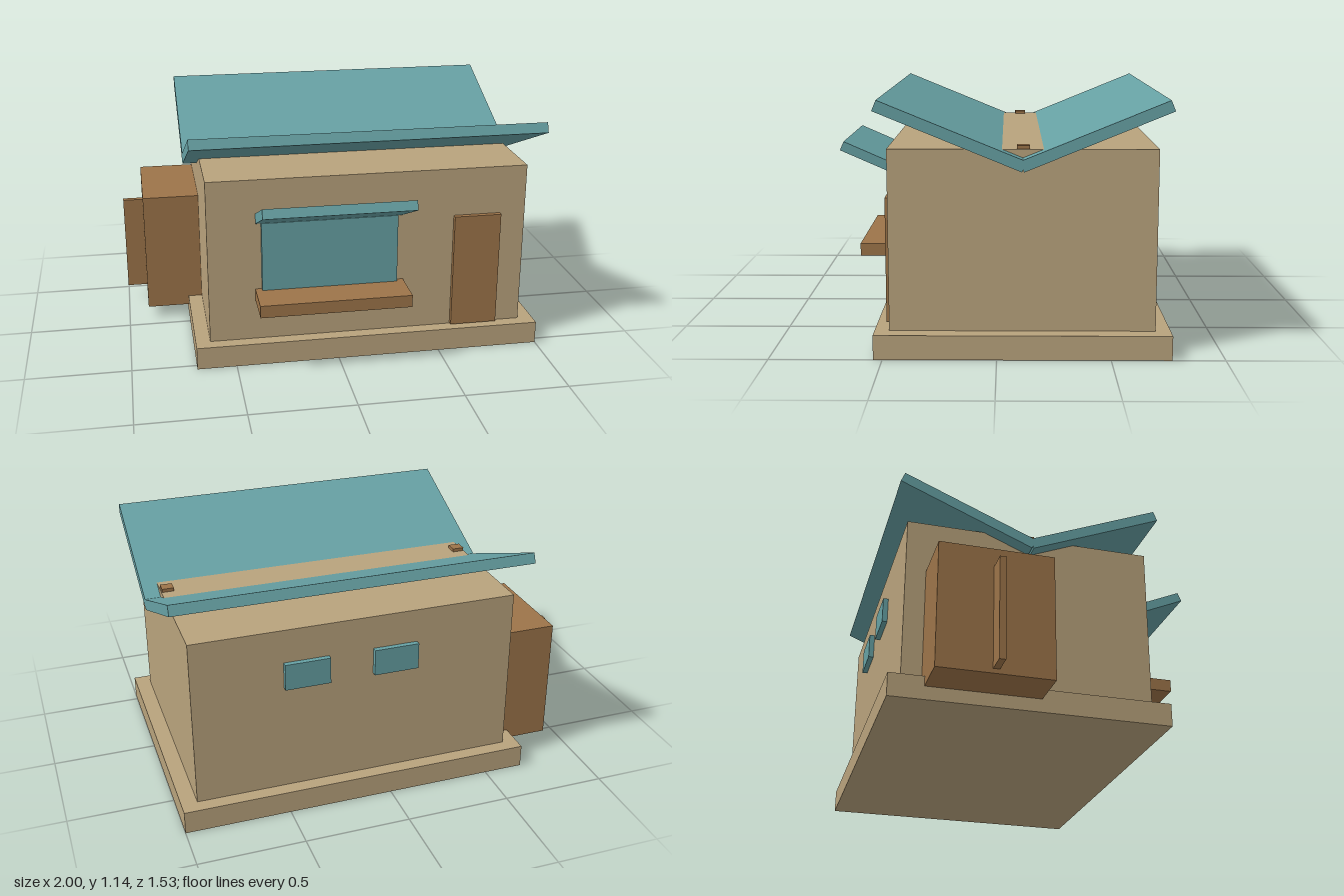
import * as THREE from 'three';

export function createModel() {
  const model = new THREE.Group();
  model.name = 'house';
  const paint = (color) => new THREE.MeshStandardMaterial({ color, flatShading: true });
  const tan = paint(0xb8a27c), teal = paint(0x66a0a3), brown = paint(0x9c7449);

  // Box given by its extents along each axis
  function block(name, mat, [x0, x1], [y0, y1], [z0, z1]) {
    const mesh = new THREE.Mesh(new THREE.BoxGeometry(x1 - x0, y1 - y0, z1 - z0), mat);
    mesh.position.set((x0 + x1) / 2, (y0 + y1) / 2, (z0 + z1) / 2);
    mesh.name = name;
    model.add(mesh);
    return mesh;
  }

  // Tilted slab whose centre line runs between two [z, y] points
  function slab(name, [x0, x1], [za, ya], [zb, yb], thickness) {
    const dz = zb - za, dy = yb - ya, half = Math.hypot(dz, dy) / 2;
    const mesh = block(name, teal, [x0, x1], [-thickness / 2, thickness / 2], [-half, half]);
    mesh.position.set((x0 + x1) / 2, (ya + yb) / 2, (za + zb) / 2);
    mesh.rotation.x = -Math.atan(dy / dz);
  }

  // Plinth and walls
  block('base', tan, [-0.69, 1], [0, 0.11], [-0.767, 0.54]);
  block('walls', tan, [-0.62, 0.925], [0.11, 0.918], [-0.7, 0.475]);

  // Butterfly roof, two mirrored slabs meeting in a valley
  const valley = -0.113;
  for (const [name, s] of [['frontRoof', 1], ['backRoof', -1]]) {
    slab(name, [-0.69, 1], [valley - s * 0.005, 0.852], [valley + s * 0.63, 1.112], 0.05);
  }

  // Small outlets at each end of the valley
  for (const x of [-0.59, 0.893]) {
    block('roofOutlet', brown, [x - 0.028, x + 0.028], [0.84, 0.934], [-0.142, -0.087]);
  }

  // Shop window with sill and awning
  block('shopWindow', teal, [-0.365, 0.29], [0.37, 0.71], [0.46, 0.5]);
  block('sill', brown, [-0.397, 0.325], [0.31, 0.37], [0.46, 0.675]);
  slab('awning', [-0.39, 0.315], [0.455, 0.718], [0.758, 0.851], 0.046);

  // Front door
  block('door', brown, [0.57, 0.8], [0.115, 0.683], [0.46, 0.5]);

  // Back windows
  for (const x of [0.393, -0.032]) {
    block('backWindow', teal, [x - 0.107, x + 0.107], [0.63, 0.757], [-0.725, -0.69]);
  }

  // Side shed with its projecting board
  block('shed', brown, [-0.9, -0.61], [0.063, 0.665], [-0.605, -0.075]);
  block('shedBoard', brown, [-1, -0.89], [0.085, 0.574], [-0.355, -0.325]);

  return model;
}
